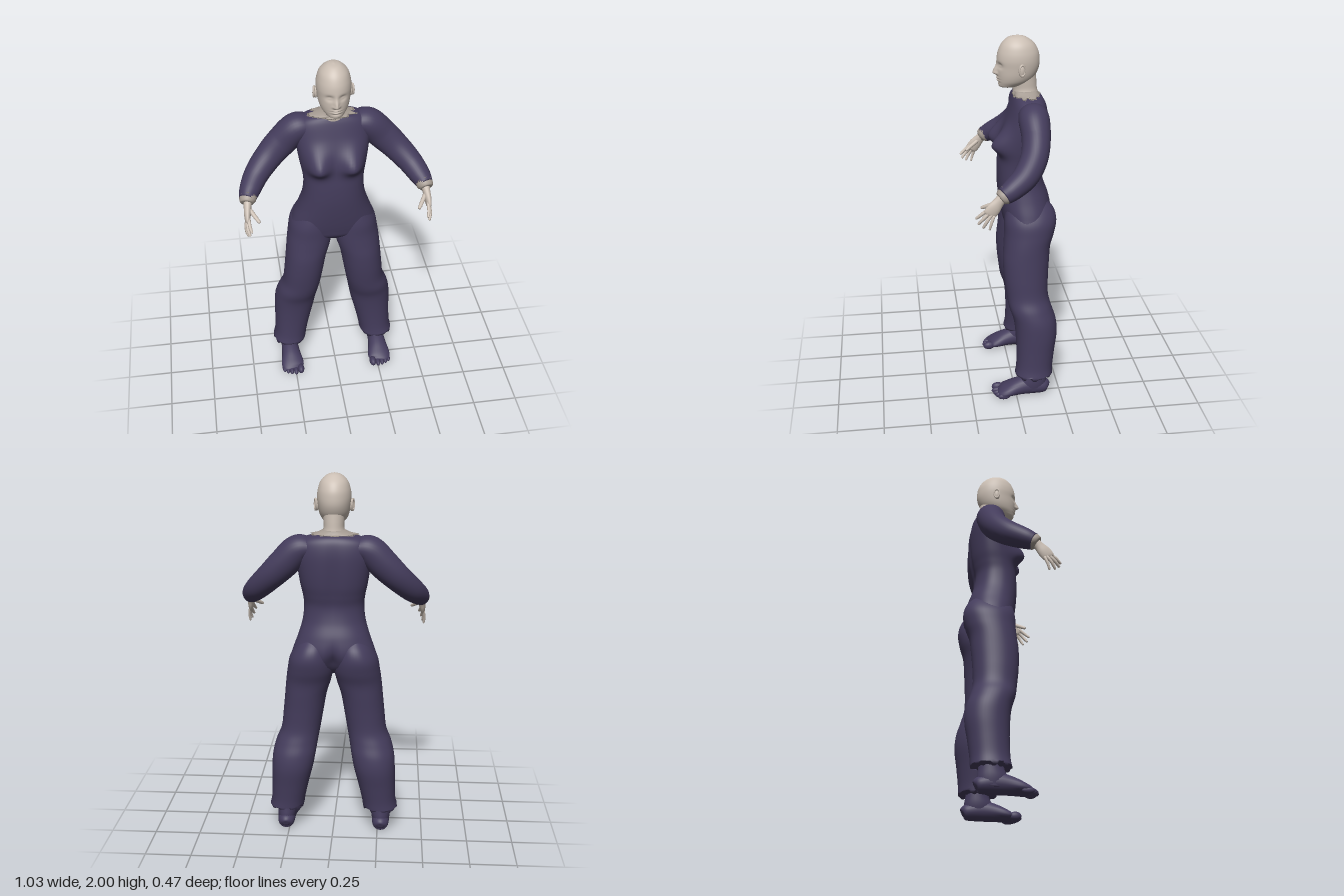
import * as THREE from 'three';

const skin = new THREE.MeshStandardMaterial({ color: 0xcbbfb4 });
skin.name = 'skin';
const frayed = new THREE.MeshStandardMaterial({ color: 0xa79d94, side: THREE.DoubleSide });
frayed.name = 'frayedSkin';
const cloth = new THREE.MeshStandardMaterial({ color: 0x443c5c });
cloth.name = 'cloth';

const gauss = (d, s) => Math.exp(-(d * d) / (s * s));
const jag = (i) => { const v = Math.sin(i * 12.9898) * 43758.5453; return v - Math.floor(v); };

// Horizontal ring from its extents: [cx, cy, cz, ru, rv]
const ring = ([y, x0, x1, zb, zf]) => [(x0 + x1) / 2, y, (zb + zf) / 2, (x1 - x0) / 2, (zf - zb) / 2];
// Horizontal ring centred on x = 0
const centred = ([y, rx, zb, zf]) => ring([y, -rx, rx, zb, zf]);

// Smooth closed skin through elliptical sections; rule may move each vertex
function loft(sections, { segs = 24, steps = 30, flat = false, power = 1, rule } = {}) {
  const centre = new THREE.CatmullRomCurve3(sections.map((s) => new THREE.Vector3(s[0], s[1], s[2])), false, 'catmullrom', 0.5);
  const radii = new THREE.CatmullRomCurve3(sections.map((s) => new THREE.Vector3(s[3], s[4], 0)), false, 'catmullrom', 0.5);
  const pos = [], index = [], p = new THREE.Vector3();
  const bend = (v) => Math.sign(v) * Math.abs(v) ** power;
  for (let i = 0; i <= steps; i++) {
    const c = centre.getPoint(i / steps), r = radii.getPoint(i / steps);
    const w = flat ? new THREE.Vector3(0, -1, 0) : centre.getTangent(i / steps);
    const u = new THREE.Vector3(1, 0, 0).addScaledVector(w, -w.x).normalize();
    const v = w.clone().cross(u);
    for (let j = 0; j < segs; j++) {
      const a = (j / segs) * Math.PI * 2;
      p.copy(c).addScaledVector(u, bend(Math.cos(a)) * Math.max(r.x, 0.001));
      p.addScaledVector(v, bend(Math.sin(a)) * Math.max(r.y, 0.001));
      if (rule) rule(p, c, j);
      pos.push(p.x, p.y, p.z);
      if (i < steps) {
        const k = i * segs, a0 = k + j, a1 = k + ((j + 1) % segs);
        index.push(a0, a1, a1 + segs, a0, a1 + segs, a0 + segs);
      }
    }
  }
  // End caps
  const first = pos.length / 3, last = steps * segs;
  pos.push(...centre.getPoint(0).toArray(), ...centre.getPoint(1).toArray());
  for (let j = 0; j < segs; j++) {
    const n = (j + 1) % segs;
    index.push(first, n, j, first + 1, last + j, last + n);
  }
  const g = new THREE.BufferGeometry();
  g.setAttribute('position', new THREE.Float32BufferAttribute(pos, 3));
  g.setIndex(index);
  g.computeVertexNormals();
  return g;
}

function ball(x, y, z, rx, ry, rz) {
  return new THREE.SphereGeometry(1, 16, 12).scale(rx, ry, rz).translate(x, y, z);
}

// Reflects a geometry across x = 0, keeping faces outward
function mirrored(geo) {
  const g = geo.clone().scale(-1, 1, 1), ix = g.index;
  for (let i = 0; i < ix.count; i += 3) {
    const b = ix.getX(i + 1);
    ix.setX(i + 1, ix.getX(i + 2));
    ix.setX(i + 2, b);
  }
  g.computeVertexNormals();
  return g;
}

export function createModel() {
  const model = new THREE.Group();
  const add = (name, geo, mat) => {
    const m = new THREE.Mesh(geo, mat);
    m.name = name;
    model.add(m);
  };
  const pair = (name, geo, mat) => {
    add('left' + name, geo, mat);
    add('right' + name, mirrored(geo), mat);
  };

  // Head with sculpted face
  add('head', loft([
    [2.0, 0.004, -0.05, -0.03], [1.99, 0.038, -0.085, 0.01], [1.96, 0.07, -0.125, 0.043],
    [1.92, 0.085, -0.148, 0.062], [1.88, 0.09, -0.155, 0.069], [1.84, 0.087, -0.153, 0.068],
    [1.80, 0.081, -0.138, 0.067], [1.77, 0.071, -0.115, 0.064], [1.75, 0.057, -0.085, 0.062],
    [1.735, 0.04, -0.04, 0.056], [1.728, 0.012, 0, 0.035],
  ].map(centred), {
    segs: 80, steps: 90, flat: true, rule: (p) => {
      if (p.z < 0) return;
      const ax = Math.abs(p.x), y = p.y;
      const bridge = gauss(p.x, 0.011) * (y > 1.807 ? gauss(y - 1.807, 0.036) : gauss(y - 1.807, 0.009));
      p.z += 0.024 * bridge + 0.006 * gauss(ax - 0.013, 0.008) * gauss(y - 1.805, 0.008);
      p.z -= 0.013 * gauss(ax - 0.033, 0.018) * gauss(y - 1.85, 0.014);
      p.z += 0.006 * gauss(ax - 0.033, 0.012) * gauss(y - 1.848, 0.007);
      p.z += 0.007 * gauss(p.x, 0.02) * (gauss(y - 1.782, 0.005) + gauss(y - 1.769, 0.005));
      p.z -= 0.004 * gauss(p.x, 0.025) * (gauss(y - 1.7755, 0.002) + gauss(y - 1.758, 0.006));
    },
  }), skin);
  pair('Ear', ball(0.09, 1.835, -0.05, 0.011, 0.032, 0.017).rotateZ(0), skin);
  pair('EarRim', new THREE.TorusGeometry(0.02, 0.005, 8, 20).scale(0.8, 1.4, 1)
    .rotateY(Math.PI / 2 + 0.35).translate(0.098, 1.837, -0.052), skin);
  add('neck', loft([
    [1.82, 0.06, -0.135, 0], [1.76, 0.056, -0.14, -0.008], [1.72, 0.055, -0.143, -0.015],
    [1.69, 0.066, -0.148, -0.015], [1.66, 0.09, -0.15, -0.02],
  ].map(centred), { flat: true, segs: 32 }), skin);

  // Ragged neckline
  add('collar', loft([
    [1.712, 0.056, -0.145, -0.015], [1.698, 0.085, -0.15, -0.018], [1.686, 0.125, -0.158, -0.012],
  ].map(centred), {
    segs: 44, steps: 6, flat: true, rule: (p, c, j) => {
      if (c.y < 1.69) { const k = 0.84 + 0.26 * jag(j >> 1); p.x *= k; p.z = c.z + (p.z - c.z) * k; }
    },
  }), frayed);

  // Torso with bust, spine furrow and seat cleft
  add('torso', loft([
    [1.695, 0.04, -0.12, -0.06], [1.688, 0.1, -0.15, -0.03], [1.672, 0.155, -0.173, -0.018],
    [1.64, 0.19, -0.188, -0.005], [1.58, 0.2, -0.197, 0.015], [1.5, 0.192, -0.197, 0.042],
    [1.42, 0.18, -0.19, 0.056], [1.36, 0.168, -0.178, 0.064], [1.3, 0.162, -0.167, 0.07],
    [1.22, 0.17, -0.178, 0.071], [1.14, 0.193, -0.205, 0.065], [1.06, 0.222, -0.218, 0.054],
    [1.0, 0.235, -0.2, 0.042], [0.96, 0.2, -0.17, 0.03], [0.925, 0.06, -0.12, 0],
  ].map(centred), {
    segs: 72, steps: 90, flat: true, power: 0.87, rule: (p) => {
      const ax = Math.abs(p.x);
      if (p.z > -0.03) {
        const fall = p.y > 1.435 ? 0.075 : 0.048;
        p.z += 0.066 * gauss(ax - 0.095, 0.062) * gauss(p.y - 1.435, fall) * Math.min(1, (p.z + 0.03) / 0.05);
      } else if (p.z < -0.1) {
        p.z += 0.012 * gauss(p.x, 0.035) * gauss(p.y - 1.42, 0.2);
        p.z += 0.04 * gauss(p.x, 0.02) * gauss(p.y - 1.0, 0.07);
      }
    },
  }), cloth);

  // Trouser legs with uneven hems
  pair('Leg', loft([
    [1.13, 0.05, 0.165, -0.18, 0.02], [1.08, 0.025, 0.205, -0.222, 0.035], [1.02, 0.008, 0.238, -0.237, 0.045],
    [0.95, 0.003, 0.252, -0.225, 0.047], [0.88, 0.016, 0.262, -0.203, 0.052], [0.8, 0.04, 0.27, -0.195, 0.058],
    [0.7, 0.058, 0.28, -0.188, 0.054], [0.6, 0.075, 0.292, -0.187, 0.042], [0.53, 0.088, 0.32, -0.204, 0.03],
    [0.46, 0.1, 0.338, -0.226, 0.008], [0.38, 0.115, 0.344, -0.232, -0.002], [0.28, 0.14, 0.346, -0.218, -0.006],
    [0.19, 0.16, 0.35, -0.207, -0.004], [0.135, 0.168, 0.361, -0.205, 0.004],
  ].map(ring), {
    segs: 44, steps: 70, flat: true, power: 0.93,
    rule: (p, c, j) => { if (c.y < 0.14) p.y += 0.022 * jag(j >> 1) - 0.008; },
  }), cloth);

  // Feet and toes
  pair('Ankle', loft([
    [0.22, 0.22, 0.31, -0.155, -0.05], [0.13, 0.215, 0.317, -0.165, -0.035],
    [0.08, 0.215, 0.32, -0.172, -0.015], [0.03, 0.225, 0.315, -0.17, -0.01],
  ].map(ring), { flat: true }), cloth);
  pair('Foot', loft([
    [0.268, 0.038, -0.182, 0.012, 0.016], [0.268, 0.042, -0.172, 0.036, 0.036], [0.268, 0.047, -0.14, 0.047, 0.046],
    [0.268, 0.055, -0.07, 0.05, 0.055], [0.267, 0.048, -0.01, 0.056, 0.048], [0.266, 0.035, 0.045, 0.066, 0.035],
    [0.265, 0.026, 0.08, 0.062, 0.024], [0.262, 0.022, 0.1, 0.04, 0.012],
  ]), cloth);
  [[0.221, 0.1, 0.02], [0.251, 0.104, 0.014], [0.276, 0.098, 0.0135], [0.298, 0.088, 0.013], [0.318, 0.074, 0.0125]]
    .forEach(([x, z, r], i) => pair('Toe' + (i + 1), ball(x, r + 0.004, z, r, r + 0.004, 0.034), cloth));

  // Sleeves
  pair('Arm', loft([
    [0.12, 1.62, -0.1, 0.055, 0.07], [0.19, 1.605, -0.1, 0.079, 0.08], [0.265, 1.53, -0.1, 0.081, 0.074],
    [0.34, 1.455, -0.08, 0.074, 0.07], [0.41, 1.385, -0.028, 0.066, 0.066],
    [0.455, 1.335, 0.045, 0.056, 0.056], [0.474, 1.308, 0.092, 0.043, 0.045],
  ], { segs: 32, steps: 48 }), cloth);
  pair('Cuff', loft([
    [0.466, 1.318, 0.074, 0.046, 0.048], [0.474, 1.306, 0.096, 0.043, 0.043], [0.477, 1.297, 0.109, 0.033, 0.034],
  ], { segs: 28, steps: 6, rule: (p, c, j) => { if (c.z < 0.08) p.z += 0.03 * jag(j >> 1) - 0.012; } }), frayed);

  // Hands
  pair('Palm', loft([
    [0.472, 1.305, 0.095, 0.025, 0.028], [0.476, 1.28, 0.118, 0.02, 0.028],
    [0.48, 1.25, 0.142, 0.018, 0.035], [0.482, 1.222, 0.163, 0.013, 0.034], [0.482, 1.212, 0.17, 0.006, 0.024],
  ], { segs: 20, steps: 16 }), skin);
  const digit = (name, a, b, c, r) => pair(name, loft([
    [...a, r, r], [...b, r * 0.95, r * 0.95], [...c, r * 0.7, r * 0.7],
    [...c.map((v, i) => v + (c[i] - b[i]) * 0.12), r * 0.15, r * 0.15],
  ], { segs: 10, steps: 12 }), skin);
  digit('IndexFinger', [0.476, 1.245, 0.168], [0.474, 1.218, 0.203], [0.466, 1.194, 0.23], 0.0095);
  digit('MiddleFinger', [0.482, 1.232, 0.162], [0.484, 1.197, 0.196], [0.476, 1.168, 0.22], 0.0095);
  digit('RingFinger', [0.486, 1.22, 0.154], [0.49, 1.182, 0.18], [0.484, 1.15, 0.197], 0.009);
  digit('LittleFinger', [0.487, 1.213, 0.143], [0.493, 1.175, 0.157], [0.491, 1.142, 0.166], 0.008);
  digit('Thumb', [0.468, 1.272, 0.128], [0.443, 1.25, 0.168], [0.423, 1.232, 0.198], 0.0115);

  return model;
}
